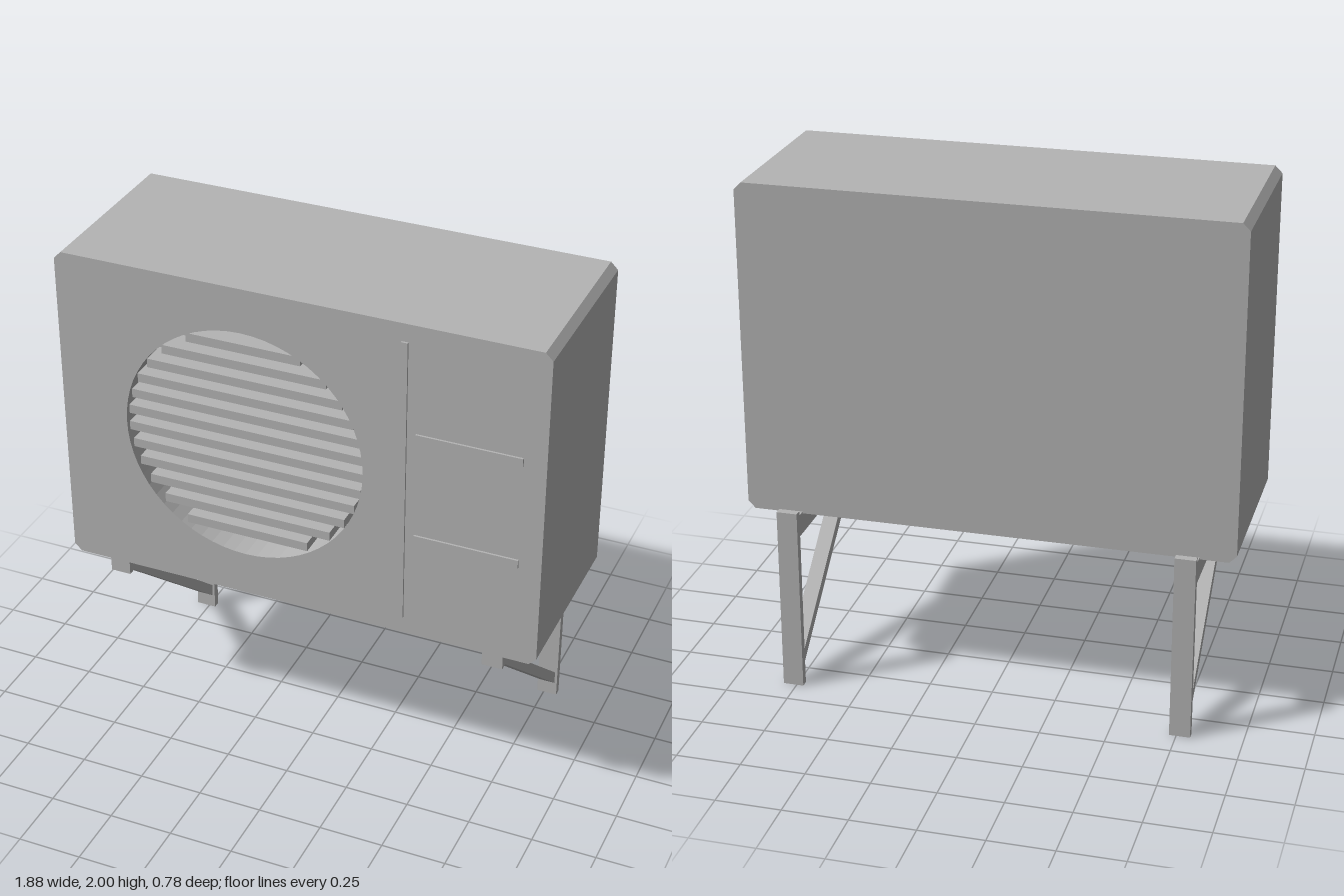
import * as THREE from 'three';

export function createModel() {
  const model = new THREE.Group();
  const grey = new THREE.MeshStandardMaterial({ color: 0xb4b4b4 });
  grey.name = 'painted grey metal';

  const add = (name, geometry, parent = model) => {
    const mesh = new THREE.Mesh(geometry, grey);
    mesh.name = name;
    parent.add(mesh);
    return mesh;
  };
  // Box given by its minimum and maximum corners
  const box = (name, x0, x1, y0, y1, z0, z1, parent) =>
    add(name, new THREE.BoxGeometry(x1 - x0, y1 - y0, z1 - z0)
      .translate((x0 + x1) / 2, (y0 + y1) / 2, (z0 + z1) / 2), parent);

  // Cabinet outline with small chamfered corners
  const W = 0.94, bottom = 0.71, top = 2, c = 0.028;
  const outline = () => new THREE.Shape([
    [-W + c, bottom], [W - c, bottom], [W, bottom + c], [W, top - c],
    [W - c, top], [-W + c, top], [-W, top - c], [-W, bottom + c],
  ].map(([x, y]) => new THREE.Vector2(x, y)));
  const slab = (shape, z0, z1) =>
    new THREE.ExtrudeGeometry(shape, { depth: z1 - z0, bevelEnabled: false, curveSegments: 32 })
      .translate(0, 0, z0);

  const back = -0.324, split = 0.25, front = 0.382;
  add('cabinet', slab(outline(), back, split));

  // Front panel with the round fan opening
  const fx = -0.21, fy = 1.355, r = 0.47;
  const panel = outline();
  panel.holes.push(new THREE.Path().absarc(fx, fy, r, 0, Math.PI * 2, true));
  add('frontPanel', slab(panel, split, front));

  // Horizontal grille slats, each cut to the chord of the opening
  const grille = new THREE.Group();
  grille.name = 'fanGrille';
  model.add(grille);
  const count = 12, pitch = 0.0709, h = pitch / 2;
  for (let i = 0; i < count; i++) {
    const y = 1.361 + (i - (count - 1) / 2) * pitch;
    const reach = Math.abs(y - fy) + h / 2;
    const half = Math.sqrt(r * r - reach * reach);
    box('grilleSlat', fx - half, fx + half, y - h / 2, y + h / 2, 0.27, 0.365, grille);
  }

  // Raised trim strips on the front
  box('verticalTrim', 0.4, 0.425, 0.78, 1.93, front, 0.39);
  for (const y of [1.135, 1.557])
    box('horizontalTrim', 0.46, 0.855, y - 0.017, y + 0.017, front, 0.39);

  // Wall brackets: post, arm and diagonal brace
  for (const side of [-1, 1]) {
    const bracket = new THREE.Group();
    bracket.name = side > 0 ? 'leftBracket' : 'rightBracket';
    bracket.position.x = side * 0.763;
    model.add(bracket);
    box('wallPost', -0.04, 0.04, 0, 0.735, -0.39, -0.36, bracket);
    box('supportArm', -0.04, 0.04, 0.63, 0.717, -0.36, 0.35, bracket);
    const profile = new THREE.Shape([[0.315, 0.63], [0.255, 0.63], [-0.36, 0.11], [-0.36, 0.057]]
      .map(([z, y]) => new THREE.Vector2(z, y)));
    add('diagonalBrace', slab(profile, -0.03, 0.03).rotateY(-Math.PI / 2), bracket);
  }
  return model;
}
